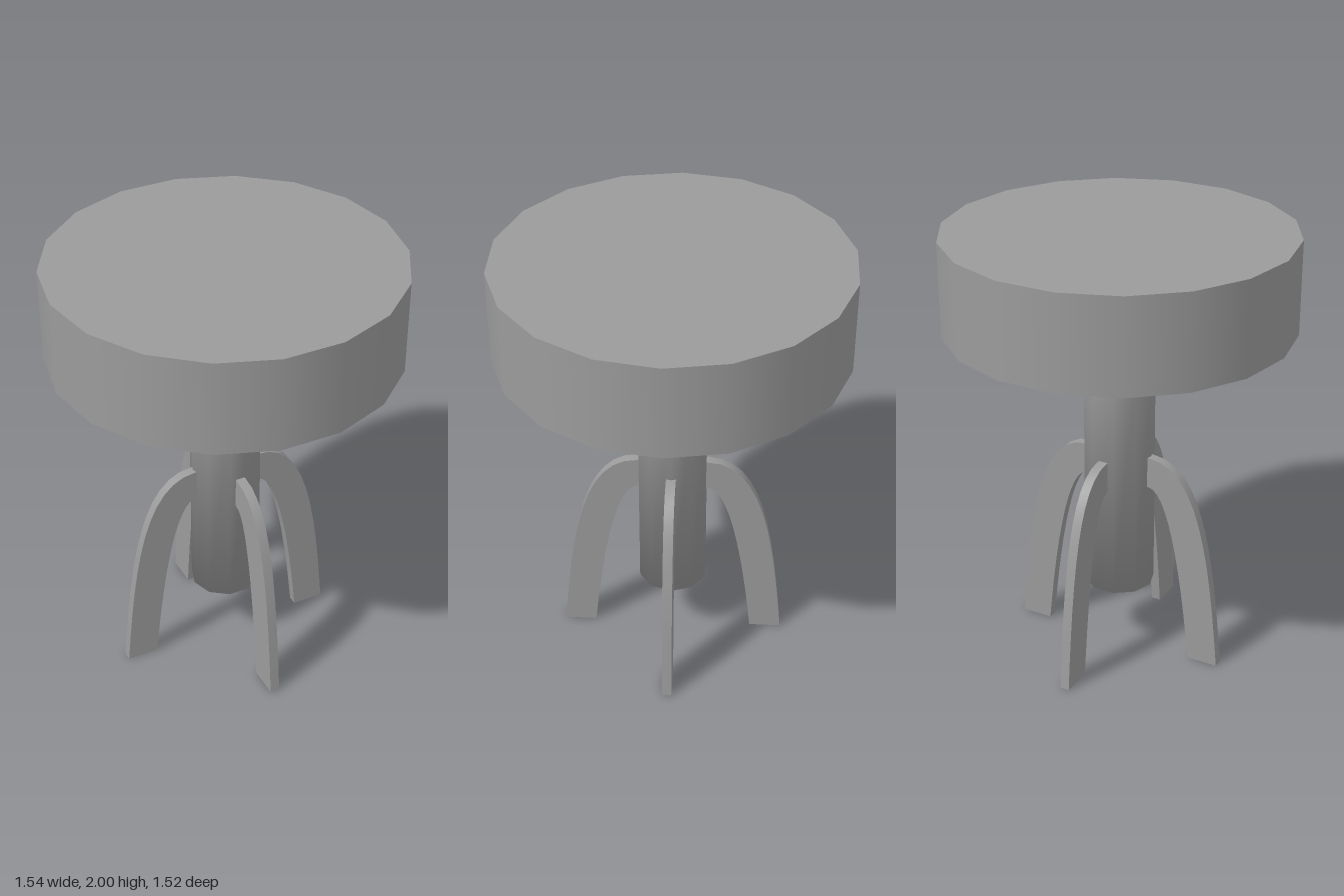
import * as THREE from 'three';
import { toCreasedNormals } from 'three/addons/utils/BufferGeometryUtils.js';

const material = new THREE.MeshStandardMaterial({ color: 0x9b9b9b });

// Upright cylinder between two heights, with a corner pointing along x
function upright(name, radius, bottom, top, sides) {
  const geometry = new THREE.CylinderGeometry(radius, radius, top - bottom, sides);
  geometry.rotateY(Math.PI / 2);
  geometry.translate(0, (bottom + top) / 2, 0);
  const mesh = new THREE.Mesh(geometry, material);
  mesh.name = name;
  return mesh;
}

// Shade the lower rim smoothly from the side into the bottom cap
function softenBottom(mesh, bottom) {
  const { position, normal } = mesh.geometry.attributes;
  const n = new THREE.Vector3();
  for (let i = 0; i < position.count; i++) {
    n.set(position.getX(i), 0, position.getZ(i));
    if (position.getY(i) > bottom + 0.001 || n.length() < 0.01) continue;
    n.normalize().setY(-0.84).normalize();
    normal.setXYZ(i, n.x, n.y, n.z);
  }
  return mesh;
}

// Flat curved leg reaching out along +x and down to the floor
function legGeometry() {
  const thickness = 0.044;
  const shape = new THREE.Shape();
  shape.moveTo(0.14, 0.835);
  shape.lineTo(0.158, 0.835);
  shape.bezierCurveTo(0.248, 0.835, 0.32, 0.5, 0.37, 0);
  shape.lineTo(0.516, 0);
  shape.bezierCurveTo(0.467, 0.55, 0.408, 0.98, 0.158, 0.98);
  shape.lineTo(0.14, 0.98);
  shape.closePath();
  const geometry = new THREE.ExtrudeGeometry(shape, {
    depth: thickness, bevelEnabled: false, curveSegments: 12,
  });
  geometry.translate(0, 0, -thickness / 2);
  return toCreasedNormals(geometry, Math.PI / 6);
}

export function createModel() {
  const stool = new THREE.Group();
  stool.name = 'stool';

  // Seat, post and column share one axis
  stool.add(upright('seat', 0.772, 1.577, 2, 18));
  stool.add(softenBottom(upright('post', 0.095, 1.36, 1.6, 10), 1.36));
  stool.add(softenBottom(upright('column', 0.159, 0.322, 1.37, 10), 0.322));

  // Four legs around the column
  const geometry = legGeometry();
  ['leftLeg', 'backLeg', 'rightLeg', 'frontLeg'].forEach((name, i) => {
    const leg = new THREE.Mesh(geometry, material);
    leg.name = name;
    leg.rotation.y = (i * Math.PI) / 2;
    stool.add(leg);
  });
  return stool;
}
